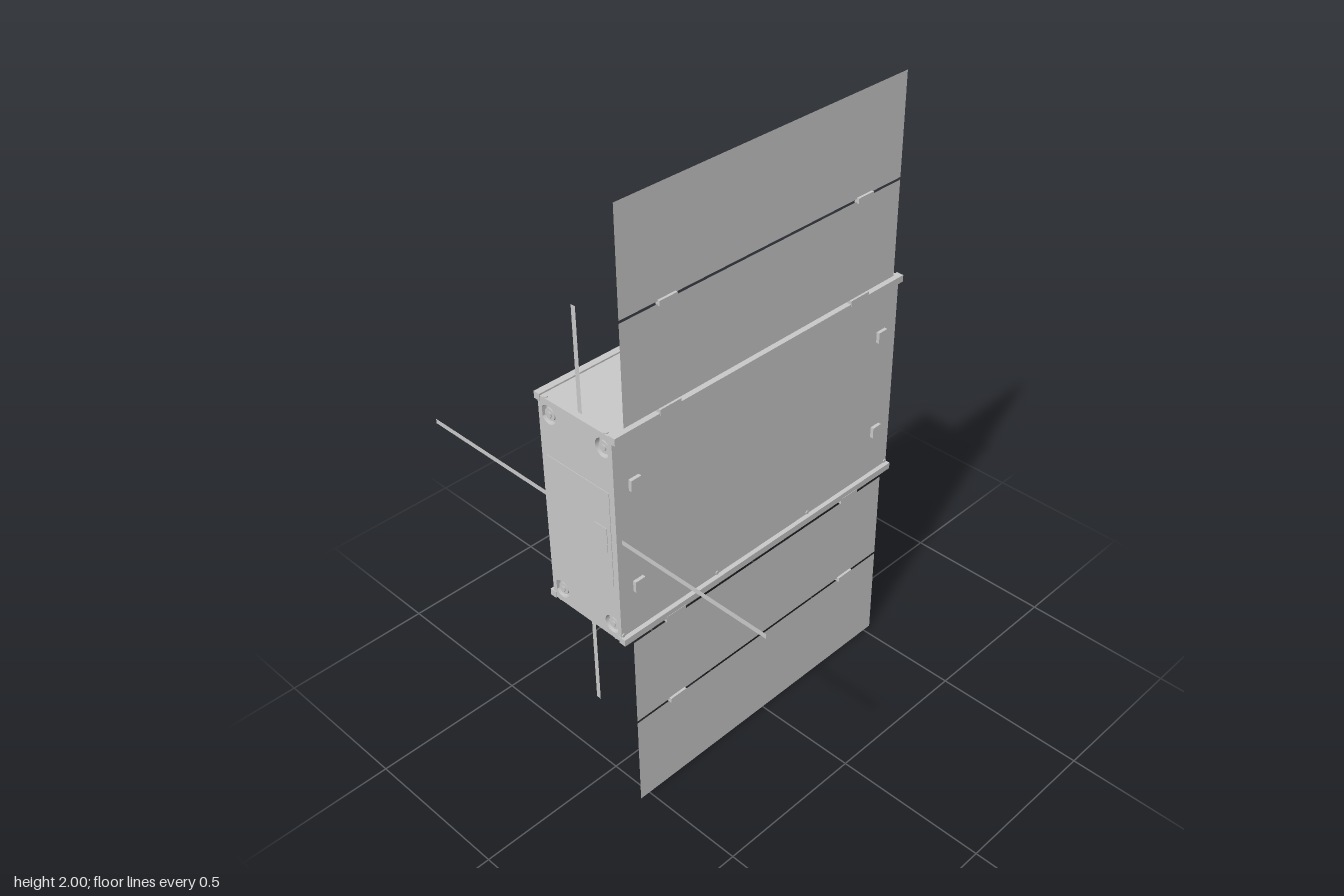
import * as THREE from 'three';
import { toCreasedNormals } from 'three/addons/utils/BufferGeometryUtils.js';

export function createModel() {
  const root = new THREE.Group();
  root.name = 'boxSatellite';
  const grey = new THREE.MeshStandardMaterial({ color: 0xc9c9c9, side: THREE.DoubleSide });
  grey.name = 'light metal grey';

  const add = (name, geo, x = 0, y = 0, z = 0) => {
    const m = new THREE.Mesh(geo, grey);
    m.name = name;
    m.position.set(x, y, z);
    root.add(m);
    return m;
  };
  // box given by its minimum and maximum corners
  const box = (name, x0, x1, y0, y1, z0, z1) =>
    add(name, new THREE.BoxGeometry(x1 - x0, y1 - y0, z1 - z0), (x0 + x1) / 2, (y0 + y1) / 2, (z0 + z1) / 2);
  const rect = (C, x0, x1, y0, y1) => {
    const p = new C();
    p.moveTo(x0, y0); p.lineTo(x1, y0); p.lineTo(x1, y1); p.lineTo(x0, y1); p.closePath();
    return p;
  };
  const circle = (x, y, r) => new THREE.Path().absarc(x, y, r, 0, Math.PI * 2, true);
  const plate = (outline, holes, depth) => {
    outline.holes.push(...holes);
    return new THREE.ExtrudeGeometry(outline, { depth, bevelEnabled: false, curveSegments: 24 });
  };

  const Y0 = 0.655, Y1 = 1.351, ZF = 0.14, ZB = -0.145, X = 0.569;

  // Closed walls of the body
  box('frontWall', -X, X, Y0, Y1, ZF - 0.015, ZF);
  box('backWall', -X, X, Y0, Y1, ZB, ZB + 0.015);
  box('bottomWall', -X, X, Y0, Y0 + 0.015, ZB, ZF);

  // Top wall with the round sensor opening
  add('topWall', plate(rect(THREE.Shape, -X, X, -ZF, -ZB), [circle(0.325, 0.01, 0.094)], 0.015)
    .rotateX(-Math.PI / 2), 0, Y1 - 0.015, 0);

  // End walls: a pierced outer plate over an inner plate, corner feet in the holes
  const feet = [];
  for (const z of [-0.105, 0.105]) for (const y of [0.702, 1.303]) feet.push([z, y]);
  const feetHoles = () => feet.map(([z, y]) => circle(-z, y, 0.029));
  const endShape = () => rect(THREE.Shape, -ZF, -ZB, Y0, Y1);
  const lens = () => circle(0, 0.865, 0.118);
  const rightHoles = [
    lens(), circle(-0.04, 1.203, 0.036), circle(-0.065, 1.11, 0.027),
    rect(THREE.Path, 0.05, 0.1, 1.148, 1.21), rect(THREE.Path, -0.1, 0.098, 1.015, 1.035),
  ];
  add('rightOuterWall', plate(endShape(), [...rightHoles, ...feetHoles()], 0.015).rotateY(Math.PI / 2), X - 0.015);
  add('rightInnerWall', plate(endShape(), [lens()], 0.01).rotateY(Math.PI / 2), X - 0.025);
  add('leftOuterWall', plate(endShape(), feetHoles(), 0.015).rotateY(Math.PI / 2), -X);
  add('leftInnerWall', plate(endShape(), [], 0.01).rotateY(Math.PI / 2), -X + 0.015);
  for (const s of [-1, 1]) for (const [z, y] of feet) {
    add('cornerFoot', new THREE.CylinderGeometry(0.019, 0.019, 0.012, 20).rotateZ(Math.PI / 2), s * (X - 0.01), y, z);
    add('footScrew', new THREE.CylinderGeometry(0.01, 0.01, 0.006, 6).rotateZ(Math.PI / 2), s * (X - 0.003), y, z);
  }
  box('connectorBlock', X - 0.015, X - 0.003, 1.152, 1.177, -0.094, -0.056);
  box('connectorBlock', X - 0.015, X - 0.003, 1.182, 1.206, -0.094, -0.056);

  // Stepped baffles inside the two openings
  const baffle = pts => toCreasedNormals(
    new THREE.LatheGeometry(pts.map(([r, h]) => new THREE.Vector2(r, h)), 40), 0.5);
  const topSteps = [];
  [0.094, 0.08, 0.071, 0.064, 0.057, 0.051, 0.045].forEach((r, i) => {
    topSteps.push([r, -0.016 * i], [r, -0.016 * (i + 1)]);
  });
  topSteps.push([0, -0.112]);
  add('topBaffle', baffle(topSteps), 0.325, Y1, -0.01);
  const vanes = [[0.118, 0]];
  for (let i = 1; i <= 5; i++) {
    const d = -0.03 * i;
    vanes.push([0.118, d], [0.106, d], [0.106, d - 0.004], [0.118, d - 0.004]);
  }
  vanes.push([0.118, -0.18], [0, -0.18]);
  add('lensBaffle', baffle(vanes).rotateZ(-Math.PI / 2), X, 0.865, 0);
  // Thin rims
  add('topRim', new THREE.RingGeometry(0.092, 0.1, 40).rotateX(-Math.PI / 2), 0.325, Y1 + 0.002, -0.01);
  add('lensRim', new THREE.RingGeometry(0.115, 0.124, 40).rotateY(Math.PI / 2), X + 0.002, 0.865, 0);

  // Rails standing proud along the four long edges, with screws
  for (const top of [true, false]) {
    const y0 = top ? 1.334 : 0.651, y1 = top ? 1.356 : 0.673;
    box('frontRail', -0.571, 0.571, y0, y1, 0.131, 0.155);
    box('backRail', -0.571, 0.571, y0, y1, -0.157, -0.135);
    const edgeY = top ? 1.328 : 0.679, capY = top ? Y1 : Y0;
    for (const x of [-0.562, -0.195, 0.195, 0.562]) {
      for (const z of [ZF, ZB]) {
        add('wallScrew', new THREE.CylinderGeometry(0.006, 0.006, 0.006, 10).rotateX(Math.PI / 2), x, edgeY, z);
      }
      for (const z of [-0.12, 0.112]) {
        add('edgeScrew', new THREE.CylinderGeometry(0.007, 0.007, 0.006, 10), x, capY, z);
      }
    }
  }

  // Square pads on the front
  for (const x of [-0.5, 0.5]) for (const y of [0.83, 1.175]) {
    box('frontPad', x - 0.018, x + 0.018, y - 0.018, y + 0.018, ZF, 0.151);
  }

  // Patch antenna and round sensor on the back
  box('backPatch', -0.49, -0.27, 1.055, 1.27, -0.152, ZB);
  box('sensorBase', -0.47, -0.3, 0.745, 0.915, -0.152, ZB);
  add('backSensor', new THREE.CylinderGeometry(0.045, 0.045, 0.02, 32).rotateX(Math.PI / 2), -0.39, 0.83, -0.154);

  // Antenna module on the left end, with four flat tape antennas
  box('antennaModule', -0.5705, -0.56, 0.845, 1.165, -0.125, 0.12);
  box('antennaLatch', -0.572, -0.565, 0.96, 1.04, 0.055, 0.105);
  for (const s of [-1, 1]) {
    add('sideAntenna', new THREE.PlaneGeometry(0.52, 0.016).rotateY(-Math.PI / 2), -0.55, 1.002, s * 0.4);
    add('uprightAntenna', new THREE.PlaneGeometry(0.016, 0.345).rotateY(-Math.PI / 2), -0.55, 1.003 + s * 0.4975, 0.001);
  }

  // Folding solar panels, two above and two below, with their hinges
  for (const [y0, y1] of [[0, 0.32], [0.328, 0.636], [1.368, 1.676], [1.684, 2]]) {
    add('solarPanel', new THREE.PlaneGeometry(1.066, y1 - y0), -0.002, (y0 + y1) / 2, 0.15);
  }
  for (const x of [-0.375, 0.375]) {
    for (const y of [0.324, 1.68]) box('panelHinge', x - 0.031, x + 0.031, y - 0.008, y + 0.008, 0.143, 0.158);
    for (const y of [0.647, 1.358]) {
      box('bodyHinge', x - 0.038, x + 0.038, y - 0.009, y + 0.009, 0.138, 0.156);
    }
  }
  return root;
}
